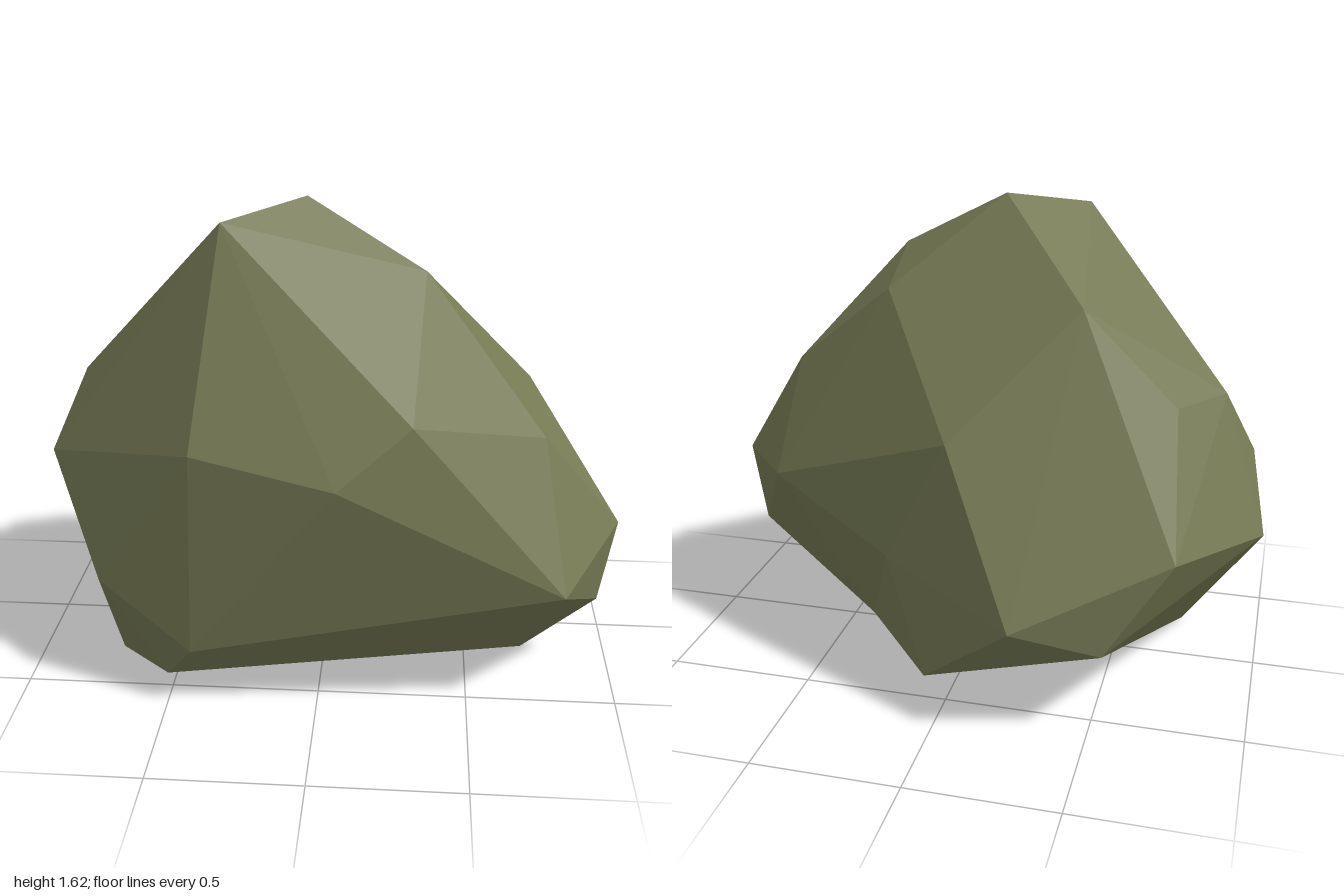
import * as THREE from 'three';
import { ConvexGeometry } from 'three/addons/geometries/ConvexGeometry.js';

// Corners of the boulder, from the peak down
const upperCorners = [
  [-0.06, 1.62, 0.11], [-0.32, 1.57, 0.29], [0.33, 1.41, 0.23],
  [-0.39, 1.32, -0.22], [0.31, 1.31, -0.07],
];
const middleCorners = [
  [0.30, 1.03, 0.62], [0.07, 0.85, 0.71], [-0.39, 0.92, 0.63],
  [-0.84, 0.99, 0.05], [-0.94, 0.74, 0.20], [-1.0, 0.53, -0.06],
  [-0.70, 1.0, -0.18], [-0.75, 0.61, -0.53], [0, 0.92, -0.48],
  [0.71, 0.63, -0.18], [0.69, 1.0, 0.05], [0.73, 0.89, 0.33],
  [1.0, 0.55, 0.24], [0.80, 0.44, 0.58],
];
const lowerCorners = [
  [-0.73, 0.41, 0.51], [-0.41, 0.22, 0.63], [-0.52, 0.035, 0.48],
  [-0.72, 0, 0.27], [0.35, 0.03, 0.20], [0.69, 0.09, 0.31],
  [0.95, 0.25, 0.24], [0.07, 0.095, -0.52], [-0.54, 0.30, -0.60],
  [-0.26, 0.40, -0.71],
];
// Hollows at the back: hull position, then the pressed-in position
const dents = [
  { from: [0.28, 0.48, -0.50], to: [0.23, 0.47, -0.41] },
  { from: [0.41, 0.09, -0.235], to: [0.36, 0.115, -0.18] },
];

const vec = (p) => new THREE.Vector3(...p);

function boulderGeometry() {
  const corners = [...upperCorners, ...middleCorners, ...lowerCorners].map(vec);
  const geometry = new ConvexGeometry([...corners, ...dents.map((d) => vec(d.from))]);

  // Press the dented corners inward
  const position = geometry.attributes.position;
  const p = new THREE.Vector3();
  for (let i = 0; i < position.count; i++) {
    p.fromBufferAttribute(position, i);
    const dent = dents.find((d) => p.distanceTo(vec(d.from)) < 0.001);
    if (dent) position.setXYZ(i, ...dent.to);
  }
  geometry.computeVertexNormals();
  return geometry;
}

export function createModel() {
  const mossyStone = new THREE.MeshStandardMaterial({ color: 0x767a54, flatShading: true });
  mossyStone.name = 'mossy stone';

  const boulder = new THREE.Mesh(boulderGeometry(), mossyStone);
  boulder.name = 'boulder';

  const model = new THREE.Group();
  model.name = 'rock';
  model.add(boulder);
  return model;
}
